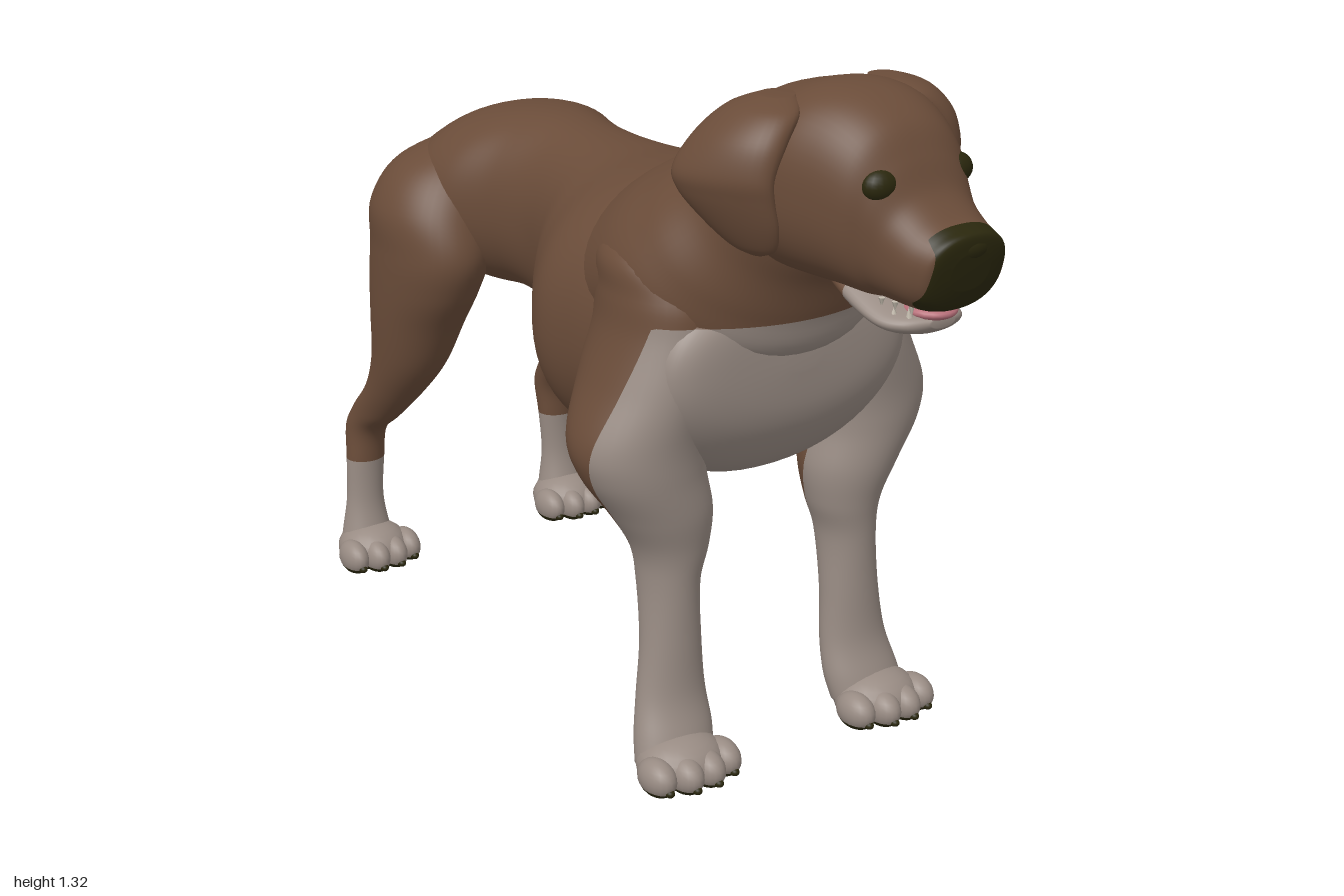
import * as THREE from 'three';

const mat = (name, color) => {
  const m = new THREE.MeshStandardMaterial({ color });
  m.name = name;
  return m;
};

// Smooth body part through oval rings: [x, y, z, halfWidth, halfDepth, tiltDegrees, skew].
// Tilt 0 runs towards +z, tilt 90 runs downwards; a power below 1 squares the ovals.
function loft(rings, side = 1, segs = 40, power = 1) {
  const pos = [], idx = [], last = rings.length - 1, steps = 7;
  const param = (i, f, k) => {
    const [a, b, c, d] = [i - 1, i, i + 1, i + 2].map(n => rings[Math.min(Math.max(n, 0), last)][k] || 0);
    return b + 0.5 * f * (c - a + f * (2 * a - 5 * b + 4 * c - d + f * (3 * (b - c) + d - a)));
  };
  const square = c => Math.sign(c) * Math.abs(c) ** power;
  const rows = last * steps;
  for (let r = 0; r <= rows; r++) {
    const i = Math.min(Math.floor(r / steps), last - 1), f = r / steps - i;
    const [x, y, z, rx, rv, tilt, skew] = [0, 1, 2, 3, 4, 5, 6].map(k => param(i, f, k));
    const t = THREE.MathUtils.degToRad(tilt);
    for (let j = 0; j < segs; j++) {
      const a = (j + 0.5) / segs * Math.PI * 2, v = Math.max(rv, 0.002) * square(Math.sin(a));
      const u = Math.max(rx, 0.002) * square(Math.cos(a)) + side * skew * v;
      pos.push(side * x + u, y + v * Math.cos(t), z + v * Math.sin(t));
      if (r < rows) {
        const p = r * segs + j, q = r * segs + (j + 1) % segs;
        idx.push(p, q, p + segs, q, q + segs, p + segs);
      }
    }
  }
  // End caps
  const n = pos.length / 3;
  for (const k of [0, last]) pos.push(side * rings[k][0], rings[k][1], rings[k][2]);
  for (let j = 0; j < segs; j++) {
    const q = (j + 1) % segs;
    idx.push(n, q, j, n + 1, rows * segs + j, rows * segs + q);
  }
  const g = new THREE.BufferGeometry();
  g.setAttribute('position', new THREE.Float32BufferAttribute(pos, 3));
  g.setIndex(idx);
  g.computeVertexNormals();
  return g;
}

// Cut a surface cleanly where field(x, y, z) is zero; the positive side takes the second material
function paint(source, field) {
  const P = source.attributes.position, N = source.attributes.normal, idx = source.index.array;
  const pos = [], nor = [], g = new THREE.BufferGeometry();
  const corner = i => {
    const p = [P.getX(i), P.getY(i), P.getZ(i)];
    return [...p, N.getX(i), N.getY(i), N.getZ(i), field(...p)];
  };
  [-1, 1].forEach((sign, group) => {
    const start = pos.length / 3;
    for (let i = 0; i < idx.length; i += 3) {
      const tri = [corner(idx[i]), corner(idx[i + 1]), corner(idx[i + 2])], poly = [];
      tri.forEach((a, k) => {
        const b = tri[(k + 1) % 3], da = a[6] * sign, db = b[6] * sign;
        if (da >= 0) poly.push(a);
        if (da * db < 0) poly.push(a.map((v, n) => v + (b[n] - v) * da / (da - db)));
      });
      for (let k = 1; k < poly.length - 1; k++) {
        for (const v of [poly[0], poly[k], poly[k + 1]]) {
          pos.push(v[0], v[1], v[2]);
          nor.push(v[3], v[4], v[5]);
        }
      }
    }
    g.addGroup(start, pos.length / 3 - start, group);
  });
  g.setAttribute('position', new THREE.Float32BufferAttribute(pos, 3));
  g.setAttribute('normal', new THREE.Float32BufferAttribute(nor, 3));
  return g;
}

function ball(x, y, z, rx, ry, rz) {
  const g = new THREE.SphereGeometry(1, 20, 14);
  g.scale(rx, ry, rz);
  return g.translate(x, y, z);
}

export function createModel() {
  const brown = mat('brown coat', 0x6a4c39), pale = mat('pale markings', 0x988b83);
  const dark = mat('dark nose and pads', 0x2a270d), pink = mat('pink tongue', 0xb8707a);
  const ivory = mat('ivory teeth', 0xc4bcae);
  const model = new THREE.Group();
  model.name = 'dog';
  const add = (name, g, m) => {
    const mesh = new THREE.Mesh(g, m);
    mesh.name = name;
    model.add(mesh);
  };
  // Pale chest and lower fore legs
  const bib = (x, y, z) => Math.max(0.3 - y, Math.min(0.87 - y, z - 0.44 - (y - 0.3) * 0.16));

  // Torso, rump to breast
  const torso = [
    [-0.56, 0.87, 0.05, 0.04], [-0.545, 0.865, 0.13, 0.095], [-0.49, 0.85, 0.195, 0.135],
    [-0.40, 0.86, 0.23, 0.17], [-0.30, 0.865, 0.222, 0.185], [-0.20, 0.87, 0.172, 0.187],
    [-0.10, 0.855, 0.155, 0.195], [0, 0.825, 0.187, 0.22], [0.1, 0.79, 0.258, 0.255],
    [0.2, 0.785, 0.312, 0.275], [0.3, 0.79, 0.297, 0.285], [0.4, 0.79, 0.28, 0.275],
    [0.48, 0.775, 0.28, 0.245], [0.54, 0.765, 0.275, 0.2], [0.585, 0.775, 0.25, 0.15],
    [0.608, 0.785, 0.18, 0.1], [0.616, 0.785, 0.03, 0.02],
  ].map(([z, y, rx, ry]) => [z < 0.3 ? 0.01 : 0, y, z, rx, ry]);
  add('torso', paint(loft(torso, 1, 64, 0.92), bib), [brown, pale]);
  add('sheath', ball(0.005, 0.658, -0.125, 0.035, 0.048, 0.062), brown);

  // Neck
  add('neck', paint(loft([
    [0, 0.80, 0.20, 0.22, 0.20, -65], [0, 0.86, 0.32, 0.27, 0.225, -60], [0, 0.935, 0.44, 0.285, 0.225, -52],
    [0, 1.0, 0.51, 0.25, 0.19, -46], [0, 1.06, 0.565, 0.2, 0.16, -40], [0, 1.13, 0.62, 0.165, 0.15, -30],
    [0, 1.16, 0.66, 0.1, 0.1, -25],
  ], 1, 56), bib), [brown, pale]);

  // Head, turned slightly to its left, with a dark muzzle end
  const head = [
    [0.50, 0, 1.10, 0.10, 0.10], [0.57, 0, 1.13, 0.15, 0.145], [0.65, 0, 1.14, 0.168, 0.165],
    [0.72, 0.002, 1.147, 0.17, 0.172], [0.79, 0.01, 1.142, 0.155, 0.168], [0.845, 0.015, 1.122, 0.134, 0.152, 3],
    [0.875, 0.022, 1.095, 0.115, 0.125, 6], [0.90, 0.03, 1.066, 0.104, 0.1, 8], [0.935, 0.037, 1.047, 0.098, 0.084, 10],
    [0.96, 0.043, 1.04, 0.091, 0.077, 12], [0.98, 0.046, 1.04, 0.078, 0.068, 14], [0.988, 0.048, 1.042, 0.04, 0.035, 14],
  ].map(([z, x, y, rx, ry, t]) => [x, y, z, rx, ry, t]);
  add('head', paint(loft(head, 1, 56, 0.84),
    (x, y, z) => Math.min(z - 0.95 - (y - 1.04) * 0.2, 0.078 - Math.abs(x - 0.046 + (1.04 - y) * 0.1))), [brown, dark]);
  add('nose', ball(0.052, 1.083, 0.958, 0.056, 0.033, 0.042), dark);

  // Mouth
  add('lowerJaw', paint(loft([
    [0.02, 1.01, 0.70, 0.07, 0.03], [0.024, 0.97, 0.79, 0.084, 0.033], [0.028, 0.942, 0.87, 0.084, 0.026],
    [0.034, 0.938, 0.915, 0.064, 0.02], [0.037, 0.942, 0.938, 0.025, 0.01],
  ]), (x, y, z) => z - 0.79), [brown, pale]);
  add('tongue', ball(0.038, 0.957, 0.9, 0.046, 0.016, 0.052), pink);
  for (let i = 0; i < 9; i++) {
    const a = (i / 8 - 0.5) * Math.PI, size = i === 2 || i === 6 ? 0.026 : 0.016;
    const x = 0.034 + 0.066 * Math.sin(a), z = 0.86 + 0.07 * Math.cos(a);
    add('lowerTooth', new THREE.ConeGeometry(0.006, size, 6).translate(x, 0.951 + size / 2, z), ivory);
    add('upperTooth', new THREE.ConeGeometry(0.006, size, 6).rotateX(Math.PI)
      .translate(0.038 + 0.07 * Math.sin(a), 0.976 - size / 2, 0.86 + 0.075 * Math.cos(a)), ivory);
  }

  // Tail, tip to root
  add('tail', loft([
    [0.03, 0.53, -0.998, 0.006, 0.006, -5], [0.03, 0.537, -0.95, 0.02, 0.018, -8],
    [0.03, 0.557, -0.86, 0.032, 0.027, -18], [0.03, 0.61, -0.755, 0.042, 0.036, -40],
    [0.03, 0.70, -0.67, 0.048, 0.042, -52], [0.03, 0.80, -0.605, 0.052, 0.045, -58],
    [0.025, 0.89, -0.55, 0.056, 0.05, -50], [0.015, 0.93, -0.47, 0.06, 0.05, -25], [0, 0.92, -0.36, 0.04, 0.04, 0],
  ]), brown);

  // Legs as [y, x, z, halfWidth, halfDepth], top to ankle
  const down = rows => rows.map(([y, x, z, rx, rz]) => [x, y, z, rx, rz, 90]);
  const foreLeg = down([
    [1.05, 0.13, 0.40, 0.03, 0.04], [0.98, 0.175, 0.415, 0.1, 0.11], [0.91, 0.187, 0.435, 0.105, 0.138],
    [0.84, 0.197, 0.442, 0.107, 0.14],
    [0.75, 0.22, 0.445, 0.117, 0.14], [0.65, 0.25, 0.455, 0.13, 0.12], [0.58, 0.247, 0.468, 0.12, 0.105],
    [0.50, 0.215, 0.48, 0.098, 0.09], [0.43, 0.2, 0.487, 0.073, 0.073], [0.36, 0.205, 0.492, 0.058, 0.062],
    [0.25, 0.208, 0.505, 0.06, 0.05], [0.15, 0.213, 0.514, 0.07, 0.048], [0.08, 0.22, 0.533, 0.08, 0.053],
    [0.03, 0.228, 0.55, 0.08, 0.056],
  ]);
  const hindLeg = down([
    [0.99, 0.09, -0.39, 0.02, 0.03], [0.93, 0.13, -0.405, 0.108, 0.11], [0.85, 0.175, -0.4, 0.12, 0.145],
    [0.76, 0.19, -0.388, 0.11, 0.16], [0.68, 0.2, -0.4, 0.1, 0.148], [0.60, 0.207, -0.42, 0.09, 0.12],
    [0.50, 0.215, -0.447, 0.074, 0.093], [0.42, 0.225, -0.495, 0.058, 0.074], [0.35, 0.235, -0.56, 0.045, 0.068],
    [0.30, 0.24, -0.602, 0.042, 0.05], [0.23, 0.245, -0.602, 0.042, 0.036], [0.14, 0.25, -0.6, 0.041, 0.034],
    [0.07, 0.252, -0.595, 0.052, 0.045], [0.03, 0.252, -0.588, 0.062, 0.054],
  ]);
  // Ear flap draped from the skull, its front edge closer to the cheek
  const ear = [
    [1.298, 0.115, 0.67, 0.03, 0.03, 0], [1.278, 0.148, 0.675, 0.05, 0.07, -0.1],
    [1.235, 0.193, 0.675, 0.05, 0.088, -0.2], [1.18, 0.228, 0.675, 0.038, 0.091, -0.35],
    [1.14, 0.226, 0.68, 0.032, 0.085, -0.4], [1.09, 0.205, 0.695, 0.026, 0.066, -0.4],
    [1.05, 0.186, 0.705, 0.017, 0.04, -0.4], [1.035, 0.18, 0.707, 0.004, 0.01, -0.4],
  ].map(([y, x, z, rx, rz, skew]) => [x, y, z, rx, rz, 90, skew]);

  // Paw with toes, claws and a flat dark sole
  function paw(name, x, z, w) {
    const flat = g => {
      const p = g.attributes.position;
      for (let i = 0; i < p.count; i++) p.setY(i, Math.max(p.getY(i), 0));
      return paint(g, (px, y) => 0.012 - y);
    };
    add(name, flat(ball(x, 0.032, z, 0.086 * w, 0.054, 0.077)), [pale, dark]);
    for (let i = 0; i < 4; i++) {
      const k = i - 1.5, tx = x + k * 0.048 * w, tz = z + (Math.abs(k) > 1 ? 0.03 : 0.048);
      add(name + 'Toe', flat(ball(tx, 0.03, tz, 0.031 * w, 0.036, 0.047)), [pale, dark]);
      add(name + 'Claw', ball(tx, 0.016, tz + 0.04, 0.009, 0.008, 0.011), dark);
    }
  }

  for (const s of [1, -1]) {
    const side = s > 0 ? 'left' : 'right';
    add(side + 'ForeLeg', paint(loft(foreLeg, s, 44), bib), [brown, pale]);
    add(side + 'HindLeg', paint(loft(hindLeg, s, 44), (x, y) => 0.23 - y), [brown, pale]);
    add(side + 'CarpalPad', ball(s * 0.215, 0.155, 0.47, 0.018, 0.02, 0.012), pale);
    paw(side + 'ForePaw', s * 0.23, 0.572, 1);
    paw(side + 'HindPaw', s * 0.25, -0.57, 0.88);
    add(side + 'Ear', loft(ear, s, 32), brown);
    // Eyes follow the turned head
    add(side + 'Eye', ball(0.027 + s * 0.083, 1.178, 0.868 - s * 0.005, 0.036, 0.029, 0.026), dark);
  }
  return model;
}
